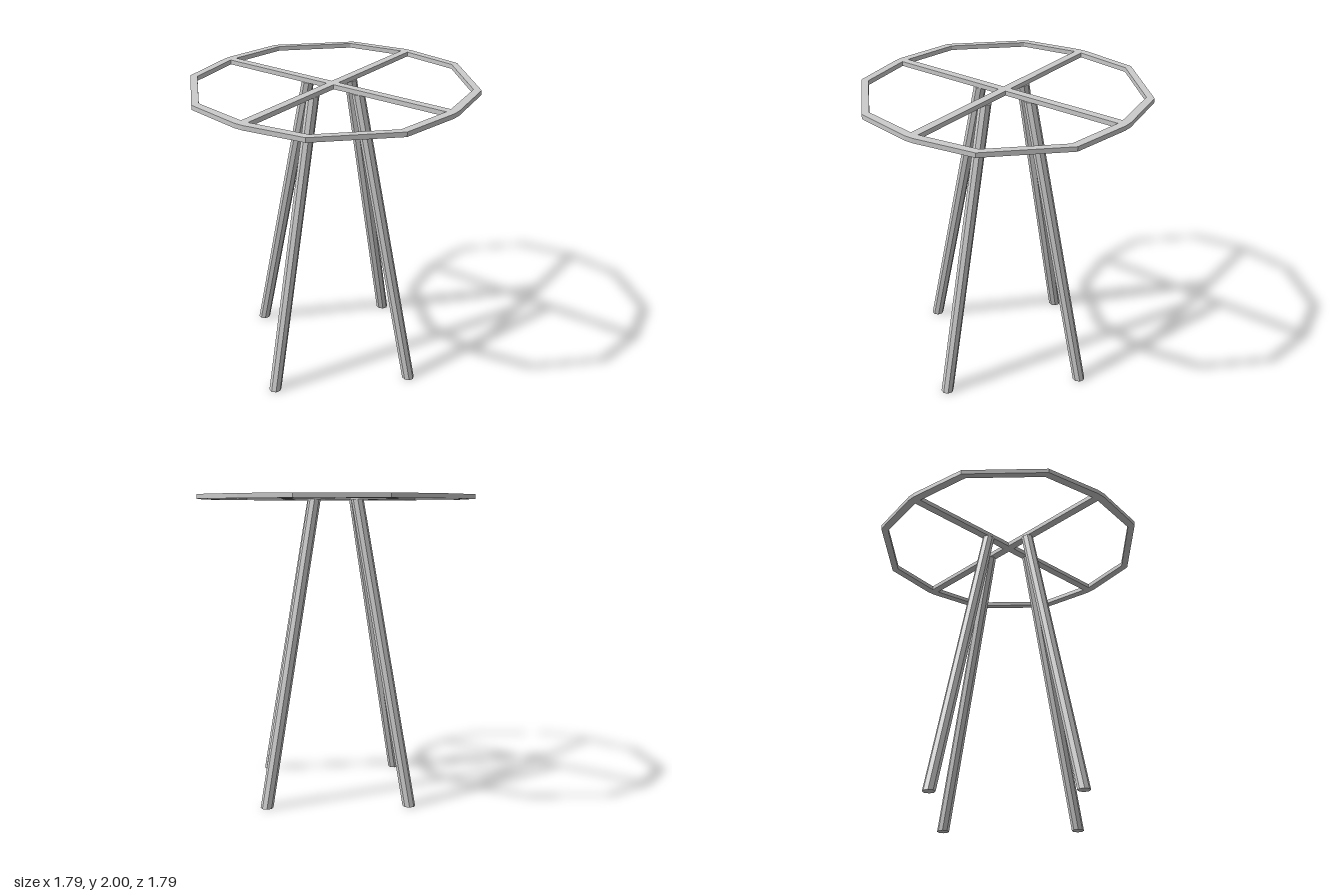
import * as THREE from 'three';

export function createModel() {
  const model = new THREE.Group();
  const material = new THREE.MeshStandardMaterial({ color: 0xcccccc, flatShading: true });
  const topY = 2, frameY = 1.97;

  // Mirror one quarter outline into all four quadrants, running round the ring
  const points = (list) => list.map(([x, y]) => new THREE.Vector2(x, y));
  const turn = ([x, y], n) => {
    for (let i = 0; i < n; i++) [x, y] = [-y, x];
    return [x, y];
  };
  const outer = [[0.893, 0.03], [0.825, 0.428], [0.428, 0.825], [0.03, 0.893]];
  const opening = [[0.027, 0.027], [0.838, 0.027], [0.776, 0.414], [0.414, 0.776], [0.027, 0.838]];

  // Faceted ring and crossed bars as one slab with four openings
  const outline = [];
  for (let q = 0; q < 4; q++) outline.push(...outer.map((p) => turn(p, q)));
  const shape = new THREE.Shape(points(outline));
  for (let q = 0; q < 4; q++) shape.holes.push(new THREE.Path(points(opening.map((p) => turn(p, q)))));
  const frameGeometry = new THREE.ExtrudeGeometry(shape, { depth: topY - frameY, bevelEnabled: false });
  frameGeometry.rotateX(-Math.PI / 2).translate(0, frameY, 0);
  const frame = new THREE.Mesh(frameGeometry, material);
  frame.name = 'ringFrame';
  model.add(frame);

  // Eight-sided leg, sheared outwards so both ends stay level
  const legGeometry = new THREE.CylinderGeometry(0.041, 0.041, frameY, 8);
  legGeometry.translate(0, frameY / 2, 0);
  const pos = legGeometry.attributes.position;
  for (let i = 0; i < pos.count; i++) {
    const t = pos.getY(i) / frameY;
    pos.setX(i, pos.getX(i) + THREE.MathUtils.lerp(0.65, 0.198, t));
  }
  legGeometry.computeVertexNormals();

  ['leftLeg', 'backLeg', 'rightLeg', 'frontLeg'].forEach((name, i) => {
    const leg = new THREE.Mesh(legGeometry, material);
    leg.name = name;
    leg.rotation.y = (i * Math.PI) / 2;
    if (name === 'frontLeg') leg.position.x = -0.005;
    model.add(leg);
  });

  return model;
}
